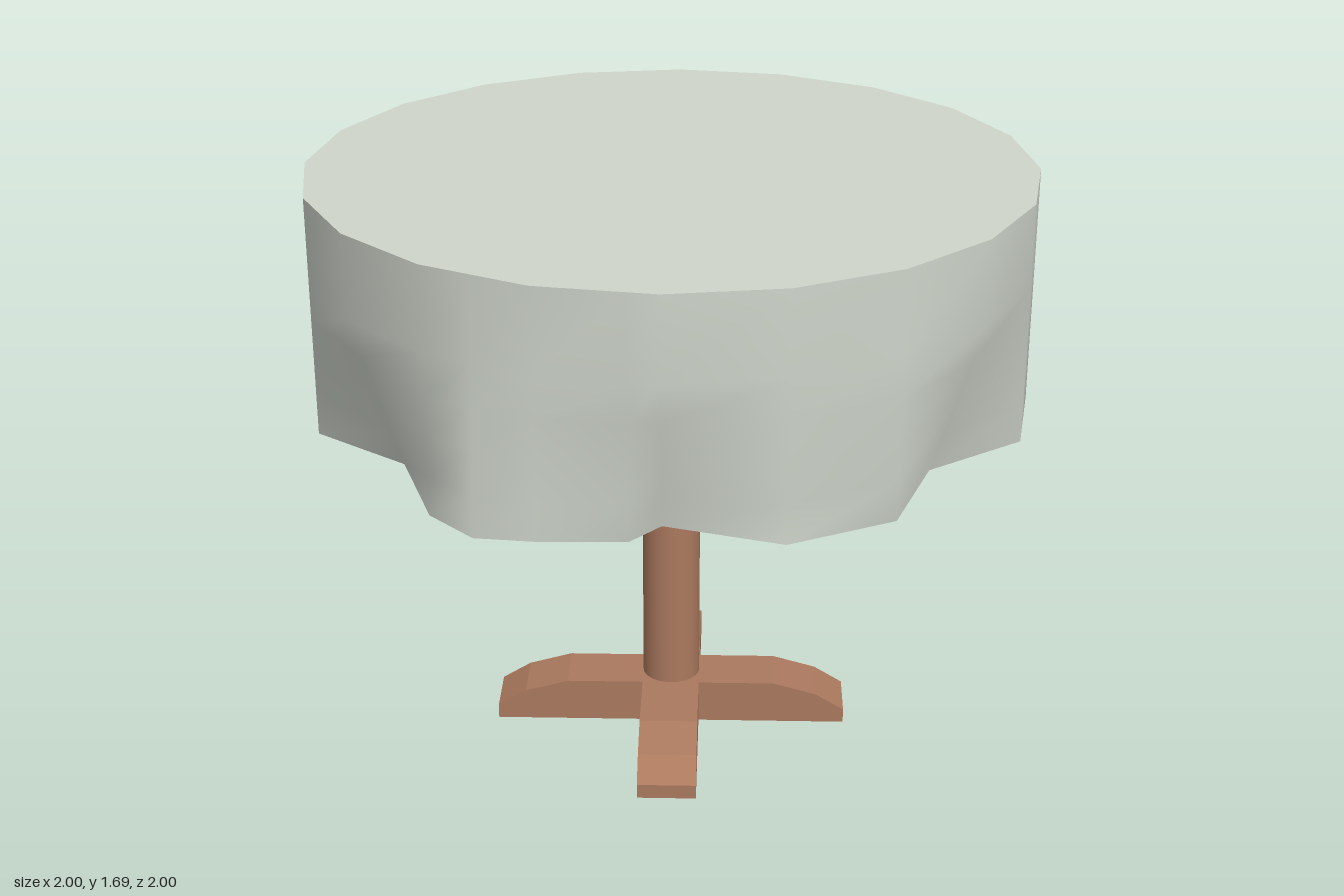
import * as THREE from 'three';

export function createModel() {
  const cloth = new THREE.MeshStandardMaterial({ name: 'pale grey green cloth', color: 0xd0d6cc, side: THREE.DoubleSide });
  const wood = new THREE.MeshStandardMaterial({ name: 'brown wood', color: 0xab795e });
  const model = new THREE.Group();
  model.name = 'clothCoveredTable';

  const add = (name, geometry, material, parent = model) => {
    const mesh = new THREE.Mesh(geometry, material);
    mesh.name = name;
    parent.add(mesh);
    return mesh;
  };

  const TOP = 1.69, FOLD = 1.46, HEM = 1.02, SIDES = 20;

  // Columns of the hanging cloth: point on the table edge and point on the hem
  const rim = (k, r = 1) => {
    const a = (k / SIDES) * Math.PI * 2;
    return [Math.sin(a) * r, Math.cos(a) * r];
  };
  const pulledIn = [0, 3, 6, 8, 11, 14, 17];
  const columns = [];
  for (let k = 0; k < SIDES; k++) {
    const [x, z] = rim(k, pulledIn.includes(k) ? 0.855 : 1);
    columns.push({ edge: rim(k), hem: [x, HEM, z] });
    // two extra sagging folds at the front
    const extra = { 18: [0.45, [-0.47, 1.0, 0.895]], 19: [0.74, [-0.08, 1.0, 0.905]] }[k];
    if (extra) {
      const [a, b] = [rim(k), rim(k + 1)];
      const edge = [0, 1].map(i => a[i] + (b[i] - a[i]) * extra[0]);
      columns.push({ edge, hem: extra[1] });
    }
  }

  // Skirt: straight at the top, folding gradually below
  const rows = [0, 0.25, 0.5, 0.75, 1];
  const positions = [], index = [];
  const n = columns.length, m = rows.length + 1;
  for (const { edge: [ex, ez], hem: [hx, hy, hz] } of columns) {
    positions.push(ex, TOP, ez);
    for (const t of rows) {
      positions.push(ex + (hx - ex) * t, FOLD + (hy - FOLD) * t, ez + (hz - ez) * t);
    }
  }
  for (let c = 0; c < n; c++) {
    for (let r = 0; r < m - 1; r++) {
      const a = c * m + r, b = ((c + 1) % n) * m + r;
      index.push(a, a + 1, b, b, a + 1, b + 1);
    }
  }
  const skirt = new THREE.BufferGeometry();
  skirt.setAttribute('position', new THREE.Float32BufferAttribute(positions, 3));
  skirt.setIndex(index);
  skirt.computeVertexNormals();
  add('clothSkirt', skirt, cloth);

  // Flat cloth top
  const top = new THREE.CircleGeometry(1, SIDES);
  top.rotateX(-Math.PI / 2);
  top.translate(0, TOP, 0);
  add('clothTop', top, cloth);

  // Central post
  const post = new THREE.CylinderGeometry(0.083, 0.083, TOP - 0.13, 24, 1, true);
  post.translate(0, (TOP - 0.01 + 0.12) / 2, 0);
  add('post', post, wood);

  // Cross-shaped foot: a hub and four tapered arms
  const W = 0.166, H = 0.127;
  const foot = new THREE.Group();
  foot.name = 'foot';
  model.add(foot);
  add('footHub', new THREE.BoxGeometry(W, H, W), wood, foot).position.y = H / 2;
  const profile = new THREE.Shape([
    [W / 2, 0], [0.512, 0], [0.512, 0.042], [0.43, 0.092], [0.305, H], [W / 2, H],
  ].map(([x, y]) => new THREE.Vector2(x, y)));
  const arm = new THREE.ExtrudeGeometry(profile, { depth: W, bevelEnabled: false });
  arm.translate(0, 0, -W / 2);
  for (let i = 0; i < 4; i++) {
    add('footArm', arm, wood, foot).rotation.y = (i * Math.PI) / 2;
  }

  return model;
}
